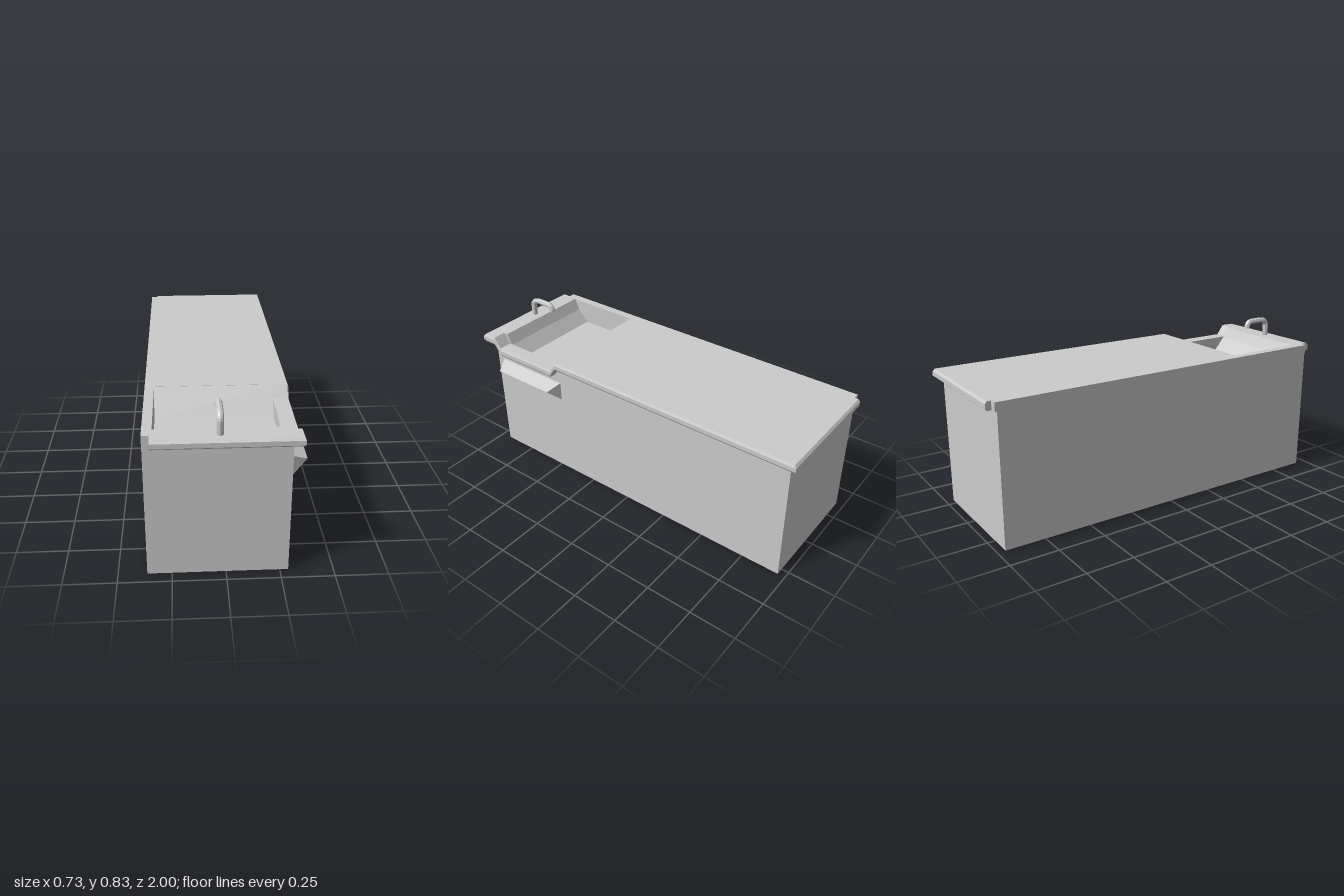
import * as THREE from 'three';

const material = new THREE.MeshStandardMaterial({ color: 0xcccccc, flatShading: true });

function add(group, name, geometry) {
  const mesh = new THREE.Mesh(geometry, material);
  mesh.name = name;
  group.add(mesh);
  return mesh;
}

// Side profile of [z, y] points extruded between two x positions
function sideExtrude(points, x0, x1) {
  const shape = new THREE.Shape(points.map(([z, y]) => new THREE.Vector2(z, y)));
  const geometry = new THREE.ExtrudeGeometry(shape, { depth: x1 - x0, bevelEnabled: false });
  return geometry.rotateY(-Math.PI / 2).translate(x1, 0, 0);
}

// Joins cross-sections of equal point count, listed clockwise from the front and from back to front
function loft(sections) {
  const positions = [];
  const n = sections[0].length;
  const tri = (...corners) => corners.forEach((p) => positions.push(...p));
  for (let i = 0; i < sections.length - 1; i++) {
    for (let j = 0; j < n; j++) {
      const k = (j + 1) % n;
      const a = sections[i][j], b = sections[i][k];
      const c = sections[i + 1][k], d = sections[i + 1][j];
      tri(a, d, c);
      tri(a, c, b);
    }
  }
  const first = sections[0], last = sections[sections.length - 1];
  for (let j = 1; j < n - 1; j++) {
    tri(first[0], first[j], first[j + 1]);
    tri(last[0], last[j + 1], last[j]);
  }
  const geometry = new THREE.BufferGeometry();
  geometry.setAttribute('position', new THREE.Float32BufferAttribute(positions, 3));
  geometry.computeVertexNormals();
  return geometry;
}

// Worktop slab; each station is [z, drop, chamfer], edge is the right side chamfer
function slab(x0, x1, stations, edge = 0) {
  return loft(stations.map(([z, drop, inset]) => {
    const top = 0.725 - drop - inset, bottom = 0.68 - drop + inset * 0.7;
    return [
      [x0, top, z], [x1 - edge, top, z],
      [x1, Math.min(top, 0.712 - drop), z], [x1, Math.max(bottom, 0.69 - drop), z],
      [x1 - edge, bottom, z], [x0, bottom, z],
    ];
  }));
}

export function createModel() {
  const model = new THREE.Group();
  const xLeft = -0.365, xBasin0 = -0.32, xBasin1 = 0.25, xBody = 0.29, xRim = 0.33;
  const back = -0.96, front = 0.94;

  // Cabinet core with the sink basin cut into its top
  add(model, 'cabinetAndBasin', sideExtrude([
    [back, 0], [front, 0], [front, 0.7], [0.91, 0.7], [0.89, 0.724],
    [0.86, 0.665], [0.8, 0.595], [0.55, 0.595], [0.45, 0.724],
    [0.43, 0.7], [back, 0.7],
  ], xBasin0, xBasin1));

  // Side panels that close the basin
  add(model, 'plainSidePanel', sideExtrude(
    [[back, 0], [front, 0], [front, 0.7], [back, 0.7]], xLeft, xBasin0));
  add(model, 'apronSidePanel', sideExtrude([
    [back, 0], [front, 0], [front, 0.69], [0.92, 0.69], [0.875, 0.64],
    [0.495, 0.64], [0.45, 0.69], [back, 0.69],
  ], xBasin1, xBody));

  // Worktop around the basin
  const backEnd = [[-1, 0, 0.013], [-0.99, 0, 0]];
  const frontEnd = [[0.99, 0, 0], [1, 0, 0.013]];
  add(model, 'worktop', slab(xBasin0 - 0.01, xBasin1, [...backEnd, [0.45, 0, 0]]));
  add(model, 'frontWorktop', slab(xBasin0 - 0.01, xBasin1, [[0.89, 0, 0], ...frontEnd]));
  add(model, 'wallEdge', slab(xLeft, xBasin0, [[-0.97, 0, 0], [0.945, 0, 0]]));

  // Overhanging edge that dips beside the basin
  add(model, 'dippedRim', slab(xBasin1, xRim, [
    ...backEnd, [0.45, 0, 0], [0.49, 0.055, 0],
    [0.875, 0.055, 0], [0.915, 0, 0], ...frontEnd,
  ], 0.006));

  // Wedge below the rim, tapered towards its outer edge
  const wedgeSection = (z, zOuter) => [
    [xBody, 0.58, z], [0.365, 0.546, zOuter], [xBody, 0.475, z],
  ];
  add(model, 'sideWedge', loft([wedgeSection(0.455, 0.49), wedgeSection(0.895, 0.86)]));

  // Bent tap
  const path = new THREE.CurvePath();
  const v = (y, z) => new THREE.Vector3(-0.03, y, z);
  path.add(new THREE.LineCurve3(v(0.7, 0.947), v(0.785, 0.947)));
  path.add(new THREE.QuadraticBezierCurve3(v(0.785, 0.947), v(0.817, 0.945), v(0.819, 0.9)));
  path.add(new THREE.LineCurve3(v(0.819, 0.9), v(0.819, 0.83)));
  path.add(new THREE.QuadraticBezierCurve3(v(0.819, 0.83), v(0.819, 0.8), v(0.783, 0.798)));
  const tap = new THREE.Group();
  tap.name = 'tap';
  add(tap, 'tapPipe', new THREE.TubeGeometry(path, 28, 0.016, 8));
  const spout = add(tap, 'tapOutlet', new THREE.CircleGeometry(0.016, 8).rotateX(Math.PI / 2));
  spout.position.copy(v(0.783, 0.798));
  model.add(tap);

  return model;
}
